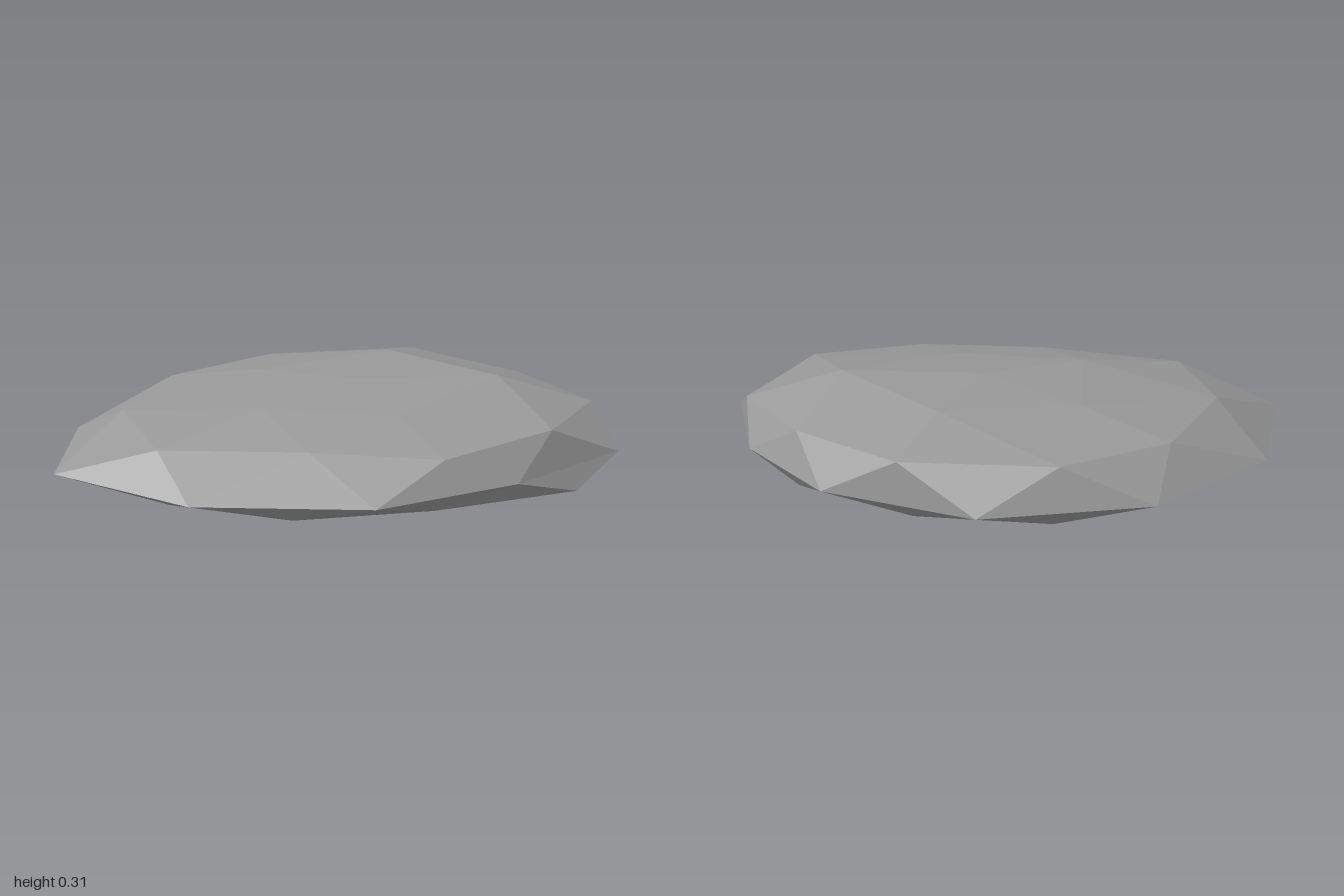
import * as THREE from 'three';

// Rings of [x, y, z], running from +x towards +z
const crown = [0.08, 0.31, 0];
const upper = [[0.59, 0.31, 0.01], [0.2, 0.265, 0.27], [-0.28, 0.28, 0.19], [-0.27, 0.285, -0.2], [0.23, 0.31, -0.31]];
const shoulder = [
  [0.94, 0.2, 0.01], [0.73, 0.22, 0.34], [0.33, 0.19, 0.51], [-0.13, 0.21, 0.45], [-0.64, 0.2, 0.36],
  [-0.76, 0.22, 0.01], [-0.58, 0.22, -0.35], [-0.2, 0.225, -0.55], [0.35, 0.235, -0.55], [0.72, 0.215, -0.29],
];
const rim = [
  [1, 0.21], [0.59, 0.48], [0.08, 0.66], [-0.54, 0.58], [-1, 0.25],
  [-0.93, -0.2], [-0.53, -0.55], [0.08, -0.66], [0.62, -0.48], [0.91, -0.17],
].map(([x, z]) => [x, 0.08, z]);
const base = [
  [0.81, 0.01], [0.82, 0.37], [0.3, 0.5], [-0.19, 0.54], [-0.6, 0.37],
  [-0.77, 0.01], [-0.58, -0.36], [-0.18, -0.54], [0.3, -0.5], [0.72, -0.29],
].map(([x, z]) => [x, 0, z]);

export function createModel() {
  const positions = [];
  const face = (a, b, c) => positions.push(...a, ...b, ...c);

  // Top facets
  for (let k = 0; k < 5; k++) {
    const a = upper[k], b = upper[(k + 1) % 5];
    const s0 = shoulder[2 * k], s1 = shoulder[2 * k + 1], s2 = shoulder[(2 * k + 2) % 10];
    face(crown, b, a);
    face(a, s1, s0);
    face(a, b, s1);
    face(b, s2, s1);
  }

  // Sloping sides, undercut and flat underside
  for (let j = 0; j < 10; j++) {
    const n = (j + 1) % 10;
    face(shoulder[j], shoulder[n], rim[j]);
    face(shoulder[n], rim[n], rim[j]);
    face(rim[j], base[n], base[j]);
    face(rim[j], rim[n], base[n]);
    face([0, 0, 0], base[j], base[n]);
  }

  const geometry = new THREE.BufferGeometry();
  geometry.setAttribute('position', new THREE.Float32BufferAttribute(positions, 3));
  geometry.computeVertexNormals();

  const stone = new THREE.MeshStandardMaterial({ color: 0x999999, flatShading: true });
  stone.name = 'stone grey';
  const rock = new THREE.Mesh(geometry, stone);
  rock.name = 'flatRock';

  const group = new THREE.Group();
  group.name = 'rock';
  group.add(rock);
  return group;
}
